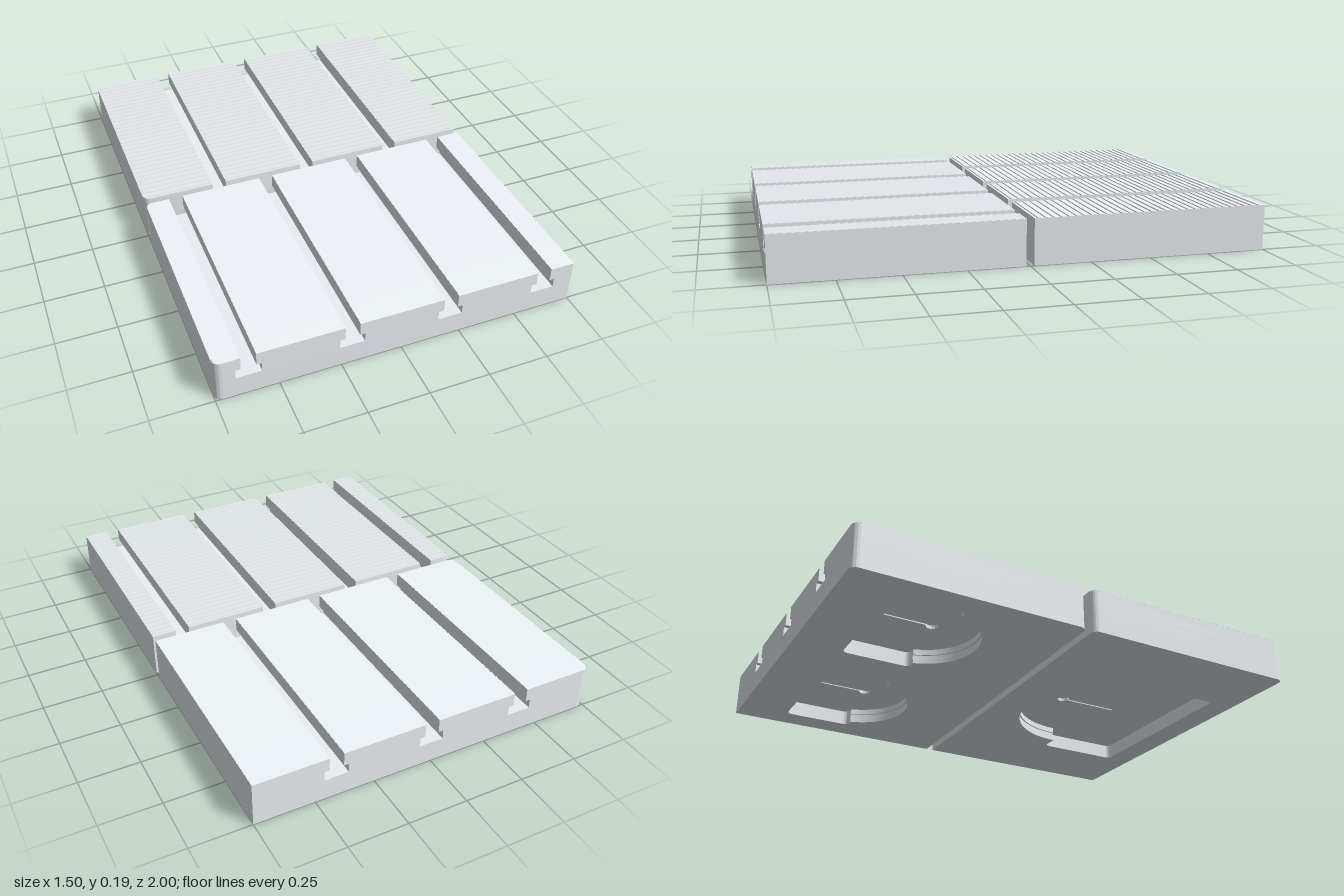
import * as THREE from 'three';
import { toCreasedNormals } from 'three/addons/utils/BufferGeometryUtils.js';

const W = 0.75, GAP = 0.016, R = 0.03;         // half width, half gap, corner radius
const POCKET = 0.065, FLOOR = 0.08, FOOT = 0.09, NECK = 0.13, VALLEY = 0.187, PEAK = 0.191;
const PITCH = 0.03135, RISER = 0.0009;         // tooth spacing, run of the steep tooth face
const material = new THREE.MeshStandardMaterial({ color: 0xebf0f4 });

function add(group, geometry, name) {
  const mesh = new THREE.Mesh(geometry, material);
  mesh.name = name;
  group.add(mesh);
}

// Plan outline in (x, z), with both corners on the -x side rounded if it reaches that edge
function plan(x0, x1, z0, z1) {
  const s = new THREE.Shape();
  s.moveTo(x1, z0);
  s.lineTo(x1, z1);
  if (x0 <= -W) {
    s.lineTo(x0 + R, z1);
    s.absarc(x0 + R, z1 - R, R, Math.PI / 2, Math.PI, false);
    s.absarc(x0 + R, z0 + R, R, Math.PI, Math.PI * 1.5, false);
  } else {
    s.lineTo(x0, z1);
    s.lineTo(x0, z0);
  }
  s.closePath();
  return s;
}

// Raise a plan outline from y0 to y1
function layer(shape, y0, y1) {
  const g = new THREE.ExtrudeGeometry(shape, { depth: y1 - y0, bevelEnabled: false, curveSegments: 24 });
  g.rotateX(Math.PI / 2).translate(0, y1, 0);
  return toCreasedNormals(g, 0.5);
}

// Pocket outline: rounded rectangle with a circle bulging towards the middle
function pocketPath(p, s, grow) {
  const { x, w, r, outer, centre, edge } = p, zo = s * outer, zi = s * edge, c = 0.03, rr = r + grow;
  const a = Math.asin((centre - edge) / rr);   // where the circle meets the rectangle
  const h = new THREE.Path();
  h.moveTo(x - w + c, zo);
  h.lineTo(x + w - c, zo);
  h.quadraticCurveTo(x + w, zo, x + w, zo - s * c);
  h.lineTo(x + w, zi + s * c);
  h.quadraticCurveTo(x + w, zi, x + w - c, zi);
  h.absarc(x, s * centre, rr, -s * a, s * (Math.PI + a), s > 0);
  h.lineTo(x - w + c, zi);
  h.quadraticCurveTo(x - w, zi, x - w, zi + s * c);
  h.lineTo(x - w, zo - s * c);
  h.quadraticCurveTo(x - w, zo, x - w + c, zo);
  return h;
}

// Keyhole: round hole with a narrow slit towards the outer edge
function keyholePath(p, s) {
  const k = 0.026, n = 0.004, a = Math.acos(n / k), h = new THREE.Path();
  h.moveTo(p.x + n, s * p.slit);
  h.lineTo(p.x + n, s * (p.hole + k * Math.sin(a)));
  h.absarc(p.x, s * p.hole, k, s * a, s * (Math.PI - a), s > 0);
  h.lineTo(p.x - n, s * p.slit);
  h.closePath();
  return h;
}

// Sawtooth strip: gentle slope facing outwards, steep riser facing the gap
function teeth(x0, x1, s, steps) {
  const base = VALLEY - 0.006, run = PITCH - RISER, pts = [[1, base]];
  for (let z = 1; z > GAP + 1e-6; z -= PITCH) {
    const top = Math.max(z - run, GAP);
    pts.push([z, VALLEY], [top, VALLEY + (PEAK - VALLEY) * (z - top) / run]);
  }
  pts.push([GAP, base]);
  const shape = new THREE.Shape(pts.map(([z, y]) => new THREE.Vector2(s * z, y)));
  const g = new THREE.ExtrudeGeometry(shape, { depth: x1 - x0, steps, bevelEnabled: false });
  g.rotateY(-Math.PI / 2).translate(x1, 0, 0);
  // follow the rounded corners
  const pos = g.attributes.position;
  for (let i = 0; i < pos.count; i++) {
    const t = Math.max(0, R - (pos.getX(i) + W));
    const inset = R - Math.sqrt(Math.max(0, R * R - t * t));
    const z = THREE.MathUtils.clamp(Math.abs(pos.getZ(i)), GAP + inset, 1 - inset);
    pos.setZ(i, s * z);
  }
  g.computeVertexNormals();
  return g;
}

// Solid x ranges left between slots of a given half width
function strips(slots, half) {
  const edges = [-W, ...slots.flatMap(c => [c - half, c + half]), W];
  const out = [];
  for (let i = 0; i < edges.length; i += 2) out.push([edges[i], edges[i + 1]]);
  return out;
}

function slab(name, s, slots, pockets) {
  const group = new THREE.Group();
  group.name = name;
  const z0 = s > 0 ? GAP : -1, z1 = s > 0 ? 1 : -GAP;

  // underside with pockets; the round wall has a shallow groove
  [[0, 0.02, 0], [0.02, 0.04, 0.006], [0.04, POCKET, 0]].forEach(([y0, y1, grow]) => {
    const shape = plan(-W, W, z0, z1);
    shape.holes = pockets.map(p => pocketPath(p, s, grow));
    add(group, layer(shape, y0, y1), 'pocketLayer');
  });
  // pocket ceiling with keyholes, closed above
  const ceiling = plan(-W, W, z0, z1);
  ceiling.holes = pockets.map(p => keyholePath(p, s));
  add(group, layer(ceiling, POCKET, FLOOR), 'keyholeLayer');
  add(group, layer(plan(-W, W, z0, z1), FLOOR, FOOT), 'slotFloor');

  // T-slots: wide foot below, narrow neck above
  for (const [a, b] of strips(slots, 0.051)) add(group, layer(plan(a, b, z0, z1), FOOT, NECK), 'slotFootWall');
  for (const [a, b] of strips(slots, 0.03)) {
    add(group, layer(plan(a, b, z0, z1), NECK, VALLEY - 0.006), 'slotNeckWall');
    // serrated top
    if (a <= -W) {
      add(group, teeth(a, a + R, s, 6), 'serratedCorner');
      add(group, teeth(a + R, b, s, 1), 'serratedTop');
    } else add(group, teeth(a, b, s, 1), 'serratedTop');
  }
  return group;
}

export function createModel() {
  const model = new THREE.Group();
  model.name = 'slottedPlates';
  const small = x => ({ x, w: 0.27, r: 0.235, outer: 0.79, centre: 0.55, edge: 0.49, hole: 0.51, slit: 0.72 });
  const large = { x: 0, w: 0.415, r: 0.335, outer: 0.88, centre: 0.49, edge: 0.49, hole: 0.343, slit: 0.62 };
  model.add(slab('frontPlate', 1, [-0.617, -0.206, 0.206, 0.617], [large]));
  model.add(slab('backPlate', -1, [-0.411, 0, 0.411], [small(-0.367), small(0.367)]));
  return model;
}
